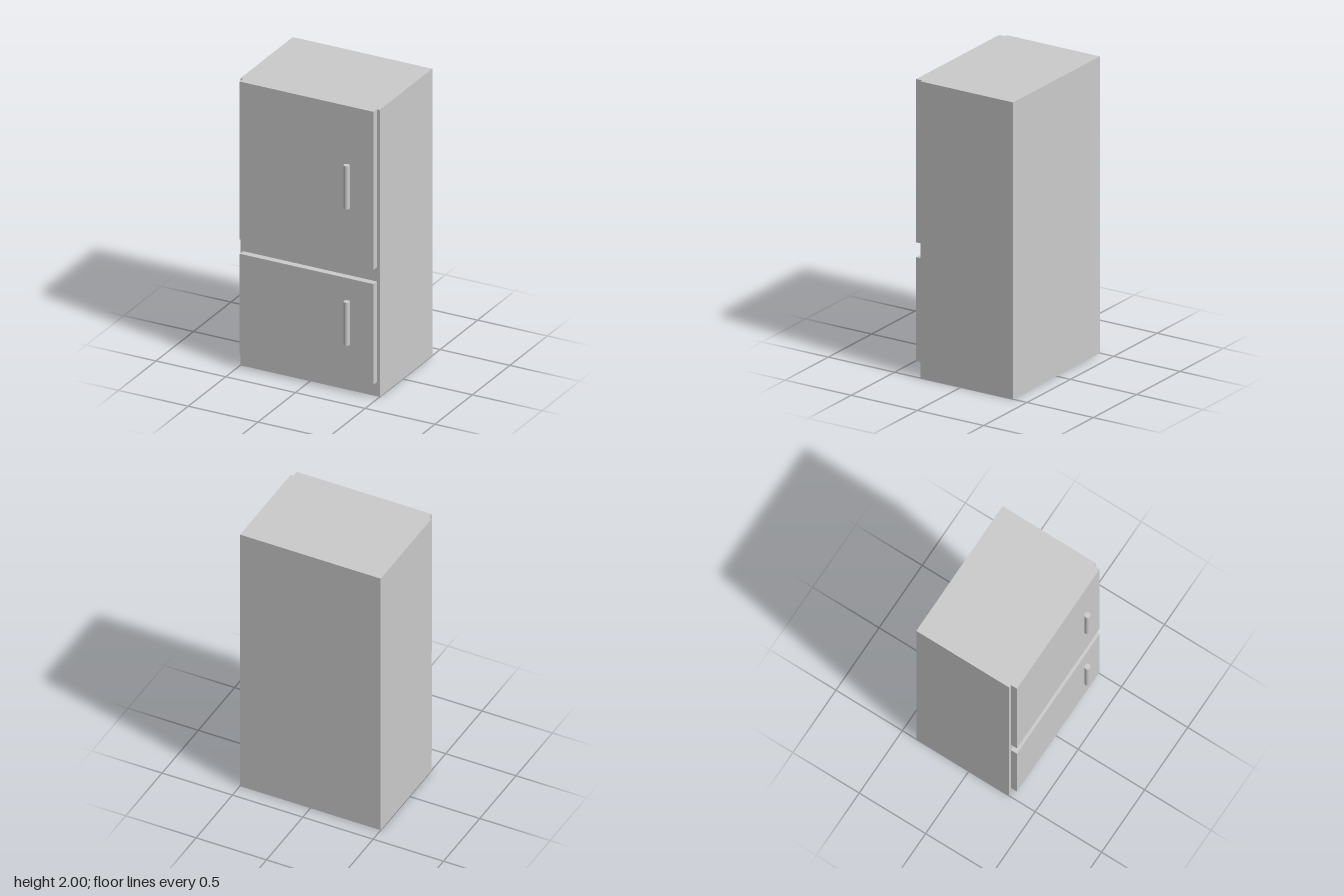
import * as THREE from 'three';

export function createModel() {
  const model = new THREE.Group();
  model.name = 'refrigerator';
  const material = new THREE.MeshStandardMaterial({ color: 0xcccccc });

  const add = (name, geometry, x, y, z) => {
    const mesh = new THREE.Mesh(geometry, material);
    mesh.name = name;
    mesh.position.set(x, y, z);
    model.add(mesh);
  };

  // Cabinet
  add('cabinet', new THREE.BoxGeometry(1, 2, 0.7), 0, 1, -0.045);

  // Doors, each with an upright bar handle standing just clear of the panel
  const doors = [
    { name: 'upper', bottom: 0.9, top: 2, handleY: 1.45 },
    { name: 'lower', bottom: 0.1, top: 0.8, handleY: 0.5 },
  ];
  for (const { name, bottom, top, handleY } of doors) {
    const panel = new THREE.BoxGeometry(0.96, top - bottom, 0.045);
    add(`${name}Door`, panel, 0, (top + bottom) / 2, 0.3275);
    add(`${name}Handle`, new THREE.CylinderGeometry(0.02, 0.02, 0.3, 32), 0.3, handleY, 0.375);
  }

  return model;
}
